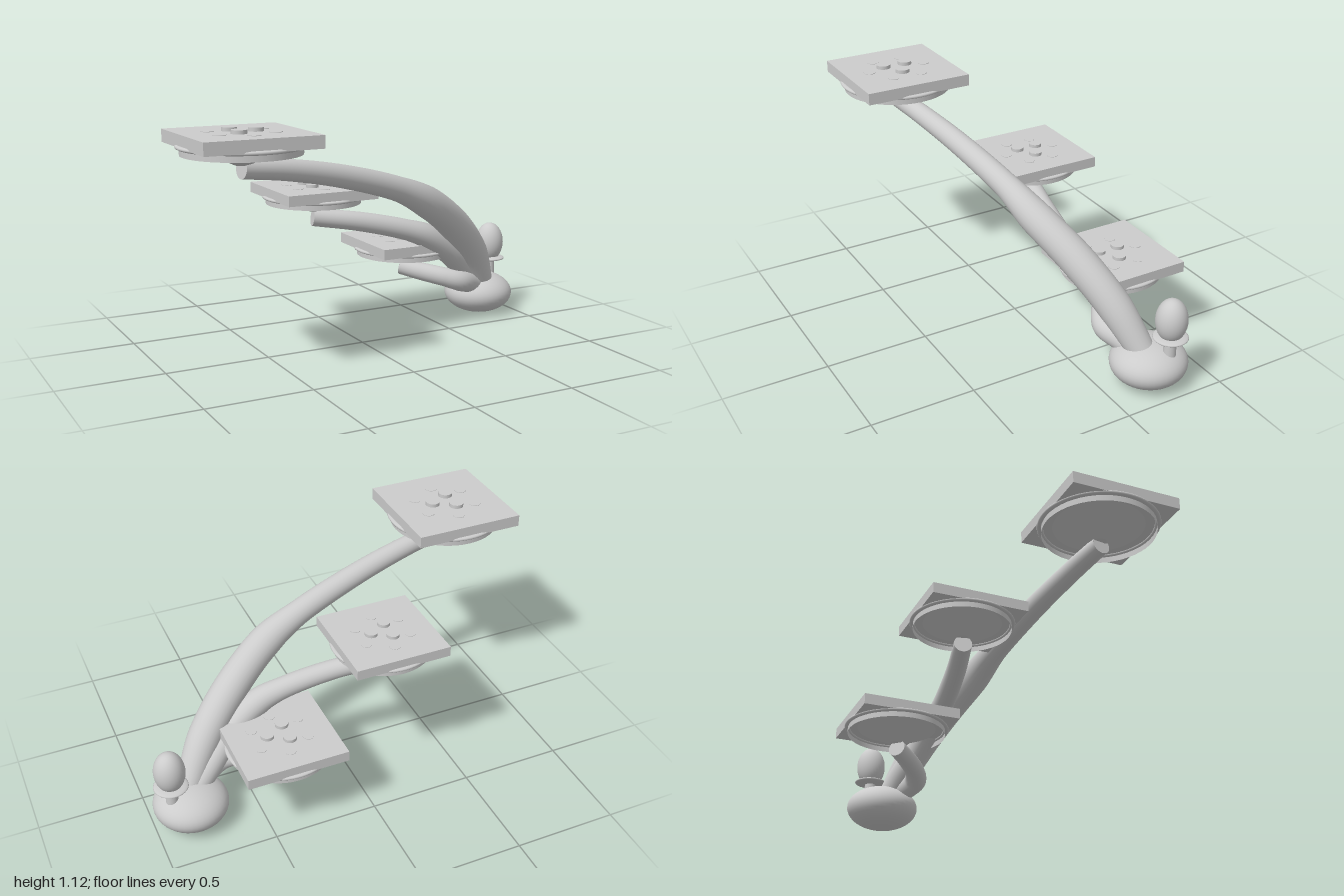
import * as THREE from 'three';

const grey = new THREE.MeshStandardMaterial({ color: 0xcccccc, side: THREE.DoubleSide });

function add(parent, name, geometry, x = 0, y = 0, z = 0) {
  const mesh = new THREE.Mesh(geometry, grey);
  mesh.name = name;
  mesh.position.set(x, y, z);
  parent.add(mesh);
  return mesh;
}

// Tapering tube through [x, y, z, radius] stations, closed at its far end
function arm(parent, name, stations) {
  const group = new THREE.Group();
  group.name = name;
  parent.add(group);
  const curve = new THREE.CatmullRomCurve3(stations.map(([x, y, z]) => new THREE.Vector3(x, y, z)));
  const rings = 64, sides = 24;
  const tube = new THREE.TubeGeometry(curve, rings, 1, sides);
  const pos = tube.attributes.position;
  const v = new THREE.Vector3();
  for (let i = 0; i <= rings; i++) {
    const centre = curve.getPointAt(i / rings);
    const s = curve.getUtoTmapping(i / rings) * (stations.length - 1);
    const k = Math.min(Math.floor(s), stations.length - 2);
    const radius = THREE.MathUtils.lerp(stations[k][3], stations[k + 1][3], s - k);
    for (let j = 0; j <= sides; j++) {
      const n = i * (sides + 1) + j;
      v.fromBufferAttribute(pos, n).sub(centre).multiplyScalar(radius).add(centre);
      pos.setXYZ(n, v.x, v.y, v.z);
    }
  }
  add(group, 'armTube', tube);
  const last = stations[stations.length - 1];
  const cap = add(group, 'armEnd', new THREE.CircleGeometry(last[3], sides), last[0], last[1], last[2]);
  cap.quaternion.setFromUnitVectors(new THREE.Vector3(0, 0, 1), curve.getTangentAt(1));
}

// Square platform on a round skirt, in units of half its width, rim at y = 0
function platform(parent, name, x, y, z, size) {
  const group = new THREE.Group();
  group.name = name;
  group.position.set(x, y, z);
  group.scale.setScalar(size);
  parent.add(group);

  add(group, 'squareTop', new THREE.BoxGeometry(2, 0.215, 2), 0, 0.1075, 0);
  add(group, 'skirt', new THREE.CylinderGeometry(0.995, 0.995, 0.14, 48, 1, true), 0, -0.07, 0);
  add(group, 'underCone', new THREE.CylinderGeometry(0.8, 0.12, 0.31, 48), 0, -0.165, 0);
  const rim = add(group, 'rim', new THREE.TorusGeometry(1.01, 0.055, 10, 64));
  rim.rotation.x = Math.PI / 2;
  rim.scale.z = 0.65;

  // Three raised buttons inside a ring of six low ones
  for (let i = 0; i < 3; i++) {
    const a = i * Math.PI * 2 / 3;
    add(group, 'button', new THREE.CylinderGeometry(0.13, 0.13, 0.07, 20),
      0.25 * Math.cos(a), 0.245, 0.25 * Math.sin(a));
  }
  for (let i = 0; i < 6; i++) {
    const a = (i + 0.5) * Math.PI / 3;
    add(group, 'lowButton', new THREE.CylinderGeometry(0.11, 0.11, 0.03, 20),
      0.55 * Math.cos(a), 0.208, 0.55 * Math.sin(a));
  }
}

export function createModel() {
  const model = new THREE.Group();
  model.name = 'branchingPlatforms';

  // Rounded base
  add(model, 'base', new THREE.SphereGeometry(1, 40, 24), 0.82, 0.11, -0.225).scale.set(0.178, 0.108, 0.18);

  // Egg-shaped ornament on a collared stem
  const ornament = new THREE.Group();
  ornament.name = 'ornament';
  ornament.position.set(0.915, 0, -0.265);
  model.add(ornament);
  add(ornament, 'stem', new THREE.CylinderGeometry(0.028, 0.03, 0.11, 24), 0, 0.235, 0);
  add(ornament, 'collar', new THREE.SphereGeometry(1, 32, 12), 0, 0.276, 0).scale.set(0.081, 0.014, 0.081);
  add(ornament, 'egg', new THREE.SphereGeometry(1, 32, 20), 0, 0.363, 0).scale.set(0.073, 0.105, 0.073);

  // Arms, from the base through a thick elbow to each platform
  arm(model, 'longArm', [
    [0.83, 0.14, -0.2, 0.06], [0.7, 0.365, -0.11, 0.08], [0.53, 0.54, -0.02, 0.082],
    [0.31, 0.69, 0.075, 0.078], [0.13, 0.772, 0.115, 0.06], [-0.2, 0.867, 0.18, 0.054],
    [-0.5, 0.925, 0.235, 0.049], [-0.72, 0.95, 0.27, 0.045]]);
  arm(model, 'middleArm', [
    [0.8, 0.14, -0.21, 0.055], [0.7, 0.25, -0.17, 0.062], [0.56, 0.38, -0.11, 0.066],
    [0.42, 0.475, -0.085, 0.064], [0.3, 0.52, -0.09, 0.053], [0.05, 0.58, -0.125, 0.048],
    [-0.18, 0.613, -0.18, 0.043]]);
  arm(model, 'shortArm', [
    [0.83, 0.13, -0.21, 0.05], [0.72, 0.185, -0.15, 0.055], [0.63, 0.215, -0.115, 0.056],
    [0.56, 0.235, -0.14, 0.049], [0.46, 0.26, -0.22, 0.046], [0.385, 0.28, -0.3, 0.043]]);

  // Platforms
  platform(model, 'highPlatform', -0.715, 1.05, 0.265, 0.265);
  platform(model, 'middlePlatform', -0.173, 0.72, -0.182, 0.233);
  platform(model, 'lowPlatform', 0.395, 0.385, -0.3, 0.241);
  return model;
}
